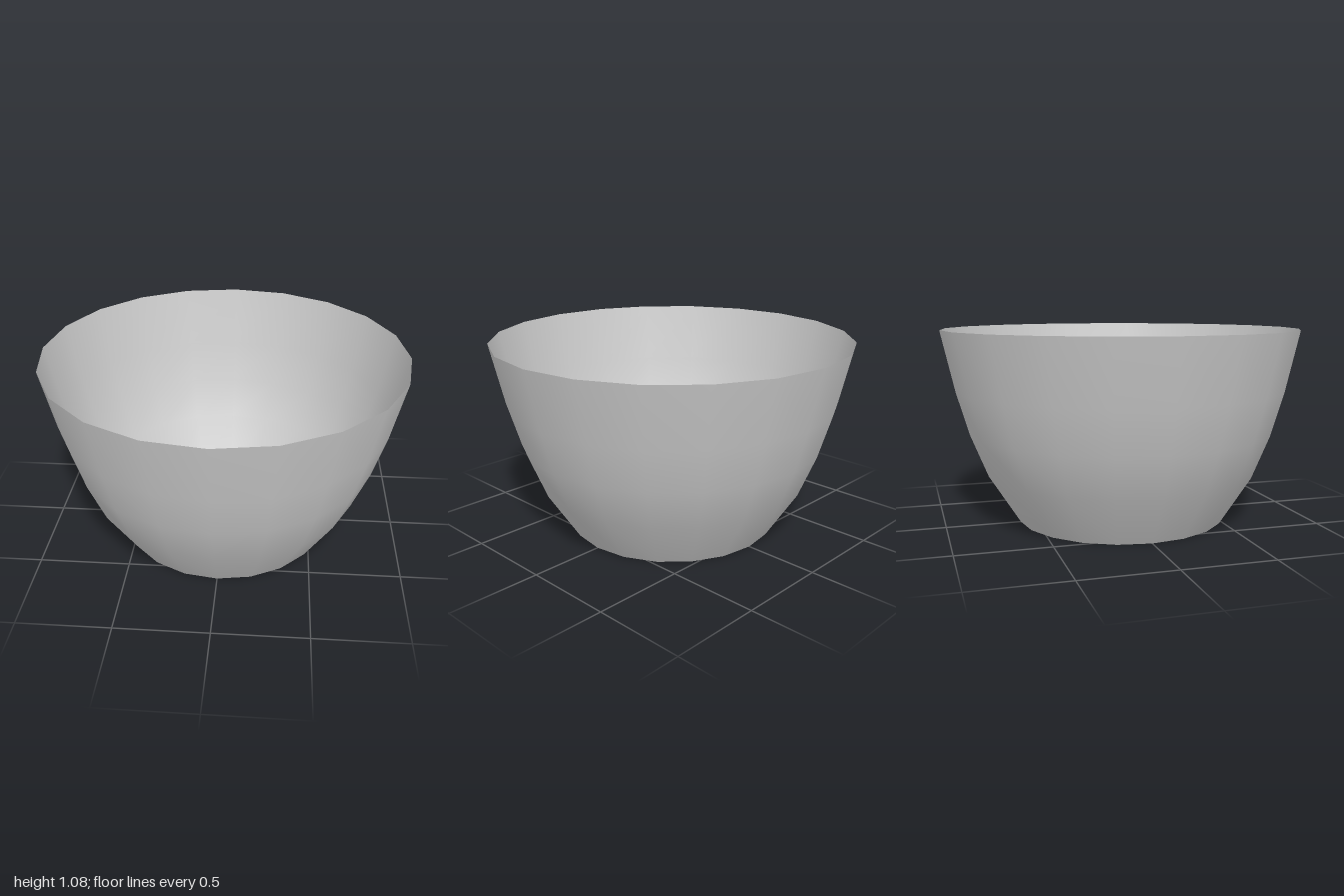
import * as THREE from 'three';

export function createModel() {
  const group = new THREE.Group();
  group.name = 'openBowl';

  // Curved wall profile, from the open base up to the rim
  const profile = [
    [0.587, 0], [0.76, 0.272], [0.855, 0.507], [0.925, 0.745], [1, 1.08],
  ].map(([r, y]) => new THREE.Vector2(r, y));

  // Thin twenty-sided wall, open at both ends
  const wall = new THREE.Mesh(
    new THREE.LatheGeometry(profile, 20),
    new THREE.MeshStandardMaterial({ color: 0xcccccc, side: THREE.DoubleSide })
  );
  wall.name = 'bowlWall';
  group.add(wall);

  return group;
}
